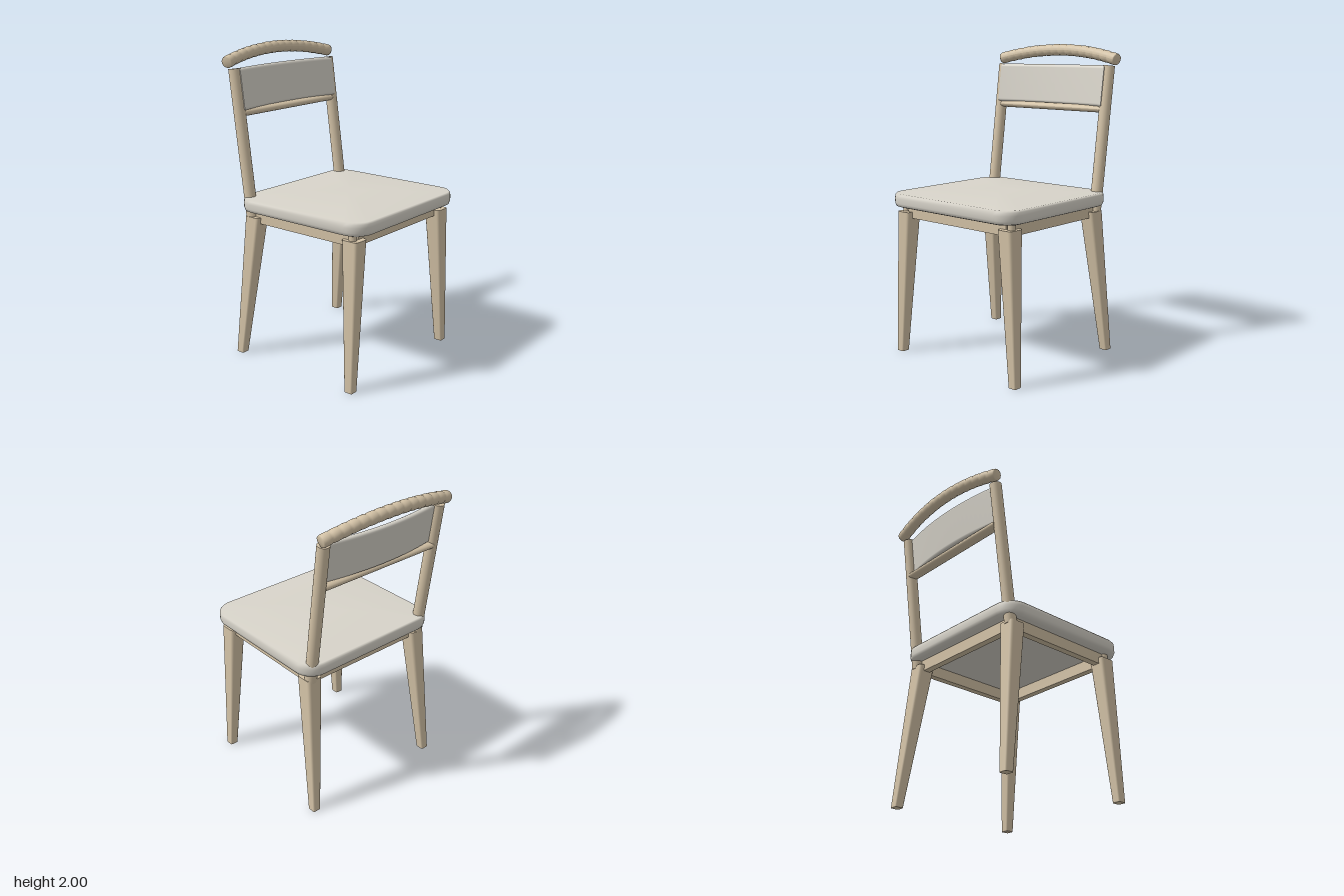
import * as THREE from 'three';

const wood = new THREE.MeshStandardMaterial({ color: 0xd3c2a6 });
const cloth = new THREE.MeshStandardMaterial({ color: 0xd8d4ca });

// Counter-clockwise rounded rectangle as [u, v] pairs
function roundedRect(hu, hv, r, n) {
  const pts = [];
  [[1, 1], [-1, 1], [-1, -1], [1, -1]].forEach(([su, sv], q) => {
    for (let k = 0; k <= n; k++) {
      const a = (q + k / n) * Math.PI / 2;
      pts.push([su * (hu - r) + r * Math.cos(a), sv * (hv - r) + r * Math.sin(a)]);
    }
  });
  return pts;
}

// Skin a list of rings and close both ends; centres may be raised
function loft(rings, endRise = 0, smoothEnd = false) {
  const n = rings[0].length, pos = [], idx = [];
  const add = p => pos.push(...p) / 3 - 1;
  rings.forEach(ring => ring.forEach(add));
  for (let i = 0; i < rings.length - 1; i++) {
    for (let j = 0; j < n; j++) {
      const k = (j + 1) % n, a = i * n + j, b = i * n + k;
      idx.push(a, b, b + n, a, b + n, a + n);
    }
  }
  [0, rings.length - 1].forEach(e => {
    const ring = rings[e], last = e > 0;
    const start = last && smoothEnd ? e * n : pos.length / 3;
    if (!(last && smoothEnd)) ring.forEach(add);
    const mid = [0, 1, 2].map(c => ring.reduce((s, p) => s + p[c], 0) / n);
    if (last) mid[1] += endRise;
    const m = add(mid);
    for (let j = 0; j < n; j++) {
      const a = start + j, b = start + (j + 1) % n;
      if (last) idx.push(a, b, m); else idx.push(b, a, m);
    }
  });
  const g = new THREE.BufferGeometry();
  g.setAttribute('position', new THREE.Float32BufferAttribute(pos, 3));
  g.setIndex(idx);
  g.computeVertexNormals();
  return g;
}

const flatRing = (hx, hz, r, n, x, y, z) => roundedRect(hx, hz, r, n).map(([u, v]) => [x + u, y, z - v]);

function rod(a, b, r) {
  const from = new THREE.Vector3(...a), to = new THREE.Vector3(...b);
  const dir = to.clone().sub(from);
  const g = new THREE.CylinderGeometry(r, r, dir.length(), 24);
  g.applyQuaternion(new THREE.Quaternion().setFromUnitVectors(new THREE.Vector3(0, 1, 0), dir.normalize()));
  const c = from.add(to).multiplyScalar(0.5);
  return g.translate(c.x, c.y, c.z);
}

export function createModel() {
  const group = new THREE.Group();
  const add = (name, geometry, material = wood) => {
    const mesh = new THREE.Mesh(geometry, material);
    mesh.name = name;
    group.add(mesh);
  };

  // Upholstered seat with a shallow crown
  const seatRings = [[0.03, 0.977], [0.008, 0.985], [0, 1.005], [0, 1.035], [0.002, 1.055], [0.012, 1.066]]
    .map(([inset, y]) => flatRing(0.522 - inset, 0.495 - inset, 0.125 - inset, 8, 0, y, 0.075));
  add('seat', loft(seatRings, 0.024, true), cloth);

  // Apron rails under the seat
  const box = (w, h, d, x, y, z) => new THREE.BoxGeometry(w, h, d).translate(x, y, z);
  add('frontApron', box(0.84, 0.078, 0.045, 0, 0.942, 0.46));
  add('backApron', box(0.84, 0.078, 0.045, 0, 0.942, -0.325));

  for (const s of [1, -1]) {
    const side = s > 0 ? 'left' : 'right';
    add(side + 'Apron', box(0.045, 0.078, 0.76, s * 0.435, 0.942, 0.07));

    // Tapered, splayed legs
    const leg = (zBottom, zTop) => loft([
      flatRing(0.028, 0.029, 0.01, 3, s * 0.493, 0, zBottom),
      flatRing(0.054, 0.057, 0.02, 3, s * 0.433, 0.943, zTop),
    ]);
    add(side + 'FrontLeg', leg(0.485, 0.462));
    add(side + 'BackLeg', leg(-0.427, -0.322));
    add(side + 'FrontDowel', rod([s * 0.45, 0.92, 0.465], [s * 0.45, 0.99, 0.465], 0.025));

    // Leaning back posts
    add(side + 'BackPost', rod([s * 0.447, 0.93, -0.348], [s * 0.447, 1.862, -0.472], 0.038));
  }

  // Curved padded back panel
  const section = roundedRect(0.13, 0.021, 0.02, 4);
  const panelRings = [];
  for (let i = 0; i <= 24; i++) {
    const t = i / 12 - 1;
    const z = -0.433 - 0.046 * (1 - t * t);
    panelRings.push(section.map(([u, v]) => [t * 0.44, 1.735 + u, z + v - 0.134 * u]));
  }
  add('backPanel', loft(panelRings), cloth);

  // Straight oval rail below the panel
  const rail = rod([-0.43, 0, 0], [0.43, 0, 0], 1);
  rail.scale(1, 0.023, 0.036).translate(0, 1.588, -0.439);
  rail.computeVertexNormals();
  add('lowerBackRail', rail);

  // Wrapped top rail: beaded bar bent up and back in the middle
  const beads = 16, length = 0.98, profile = [new THREE.Vector2(0, -length / 2)];
  for (let i = 0; i < beads; i++) {
    for (const [f, r] of [[0, 0.034], [0.12, 0.0375], [0.5, 0.039], [0.88, 0.0375]]) {
      profile.push(new THREE.Vector2(r, ((i + f) / beads - 0.5) * length));
    }
  }
  profile.push(new THREE.Vector2(0.034, length / 2), new THREE.Vector2(0, length / 2));
  const top = new THREE.LatheGeometry(profile, 24).rotateZ(-Math.PI / 2);
  const p = top.attributes.position, q = new THREE.Quaternion(), xAxis = new THREE.Vector3(1, 0, 0);
  for (let i = 0; i < p.count; i++) {
    const x = p.getX(i), k = x / 0.49;
    const tangent = new THREE.Vector3(1, -2 * 0.06 * k / 0.49, 2 * 0.038 * k / 0.49).normalize();
    const v = new THREE.Vector3(0, p.getY(i), p.getZ(i)).applyQuaternion(q.setFromUnitVectors(xAxis, tangent));
    p.setXYZ(i, x + v.x, 1.961 - 0.06 * k * k + v.y, -0.535 + 0.038 * k * k + v.z);
  }
  top.computeVertexNormals();
  add('wrappedTopRail', top);

  return group;
}
